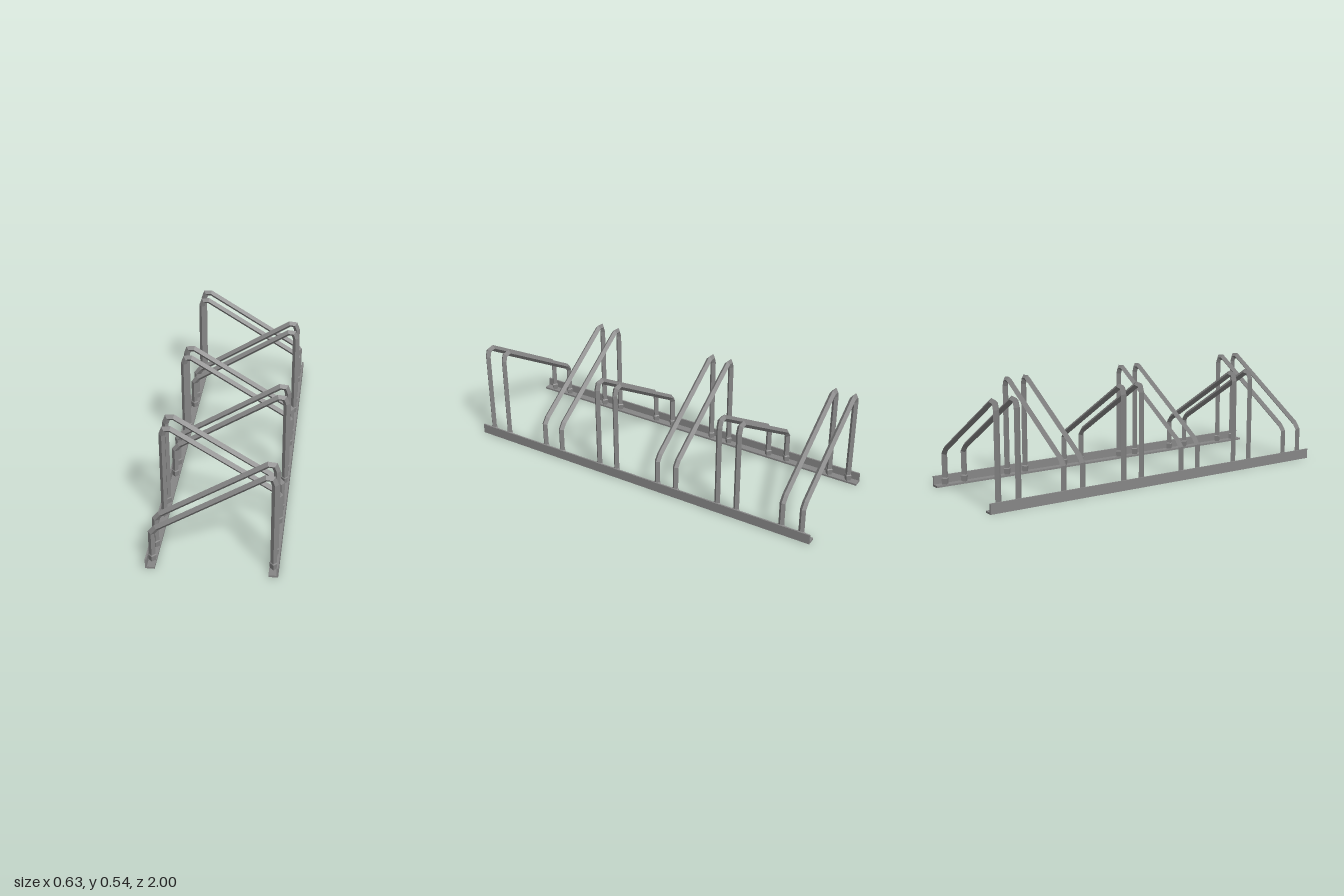
import * as THREE from 'three';

const steel = new THREE.MeshStandardMaterial({ color: 0x868686, flatShading: true });
steel.name = 'galvanised steel';

// Sweeps a diamond section along a path in the xy plane, with mitred bends
function diamondTube(points, r) {
  const path = points.map(([x, y]) => new THREE.Vector2(x, y));
  const last = path.length - 1;
  const rings = path.map((p, i) => {
    const before = path[i].clone().sub(path[Math.max(i - 1, 0)]).normalize();
    const after = path[Math.min(i + 1, last)].clone().sub(p).normalize();
    if (i === 0) before.copy(after);
    if (i === last) after.copy(before);
    const t = before.clone().add(after).normalize();
    const m = r / t.dot(after);
    const nx = -t.y * m, ny = t.x * m;
    return [
      [p.x + nx, p.y + ny, 0], [p.x, p.y, r],
      [p.x - nx, p.y - ny, 0], [p.x, p.y, -r],
    ];
  });
  const pos = [];
  for (let i = 0; i < last; i++) {
    for (let j = 0; j < 4; j++) {
      const k = (j + 1) % 4;
      const a = rings[i][j], b = rings[i][k], c = rings[i + 1][k], d = rings[i + 1][j];
      pos.push(...a, ...b, ...c, ...a, ...c, ...d);
    }
  }
  const geo = new THREE.BufferGeometry();
  geo.setAttribute('position', new THREE.Float32BufferAttribute(pos, 3));
  geo.computeVertexNormals();
  return geo;
}

function addMesh(parent, geo, name, x = 0, y = 0, z = 0) {
  const mesh = new THREE.Mesh(geo, steel);
  mesh.name = name;
  mesh.position.set(x, y, z);
  parent.add(mesh);
  return mesh;
}

export function createModel() {
  const rack = new THREE.Group();
  rack.name = 'bicycleRack';

  // Angle-iron base rails: L section extruded along z
  const section = new THREE.Shape([
    [0.268, 0], [0.314, 0], [0.314, 0.053], [0.306, 0.053], [0.306, 0.01], [0.268, 0.01],
  ].map(([x, y]) => new THREE.Vector2(x, y)));
  const railGeo = new THREE.ExtrudeGeometry(section, { depth: 2, bevelEnabled: false });
  railGeo.translate(0, 0, -1);
  addMesh(rack, railGeo, 'leftRail');
  addMesh(rack, railGeo, 'rightRail').rotation.y = Math.PI;

  // Hoop: short post, sloping bar, tall post
  const hoopGeo = diamondTube([
    [0.288, 0.008], [0.288, 0.485], [0.277, 0.516], [0.247, 0.519],
    [-0.264, 0.2], [-0.288, 0.17], [-0.288, 0.008],
  ], 0.016);

  // Welded collar at the foot of each post
  const collarGeo = new THREE.LatheGeometry([
    [0.017, 0.008], [0.021, 0.04], [0.016, 0.045],
  ].map(([x, y]) => new THREE.Vector2(x, y)), 4);

  // Pairs of hoops, alternately tall on the left and on the right
  [0.89, 0.532, 0.18, -0.18, -0.532, -0.89].forEach((zPair, i) => {
    for (const dz of [0.054, -0.054]) {
      const hoop = new THREE.Group();
      hoop.name = 'hoop';
      hoop.position.z = zPair + dz;
      hoop.rotation.y = i % 2 ? Math.PI : 0;
      addMesh(hoop, hoopGeo, 'hoopTube');
      for (const x of [0.288, -0.288]) addMesh(hoop, collarGeo, 'collar', x);
      rack.add(hoop);
    }
  });
  return rack;
}
